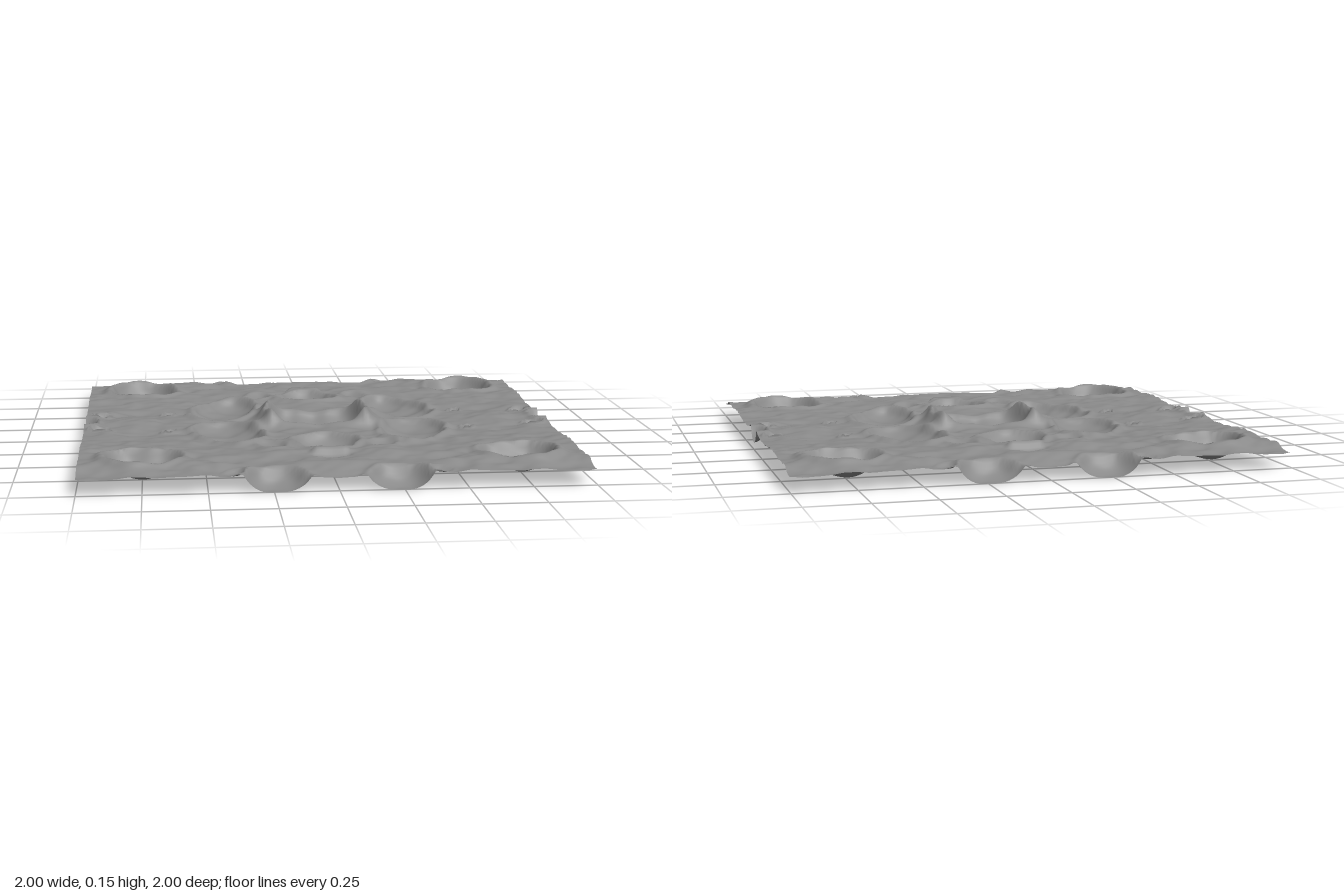
import * as THREE from 'three';

const { smoothstep, lerp } = THREE.MathUtils;

// Seeded smooth value noise, range -1..1
function hash(i, j, seed) {
  const s = Math.sin(i * 127.1 + j * 311.7 + seed * 74.7) * 43758.5453;
  return (s - Math.floor(s)) * 2 - 1;
}
function noise(x, z, seed) {
  const i = Math.floor(x), j = Math.floor(z);
  const u = smoothstep(x - i, 0, 1), v = smoothstep(z - j, 0, 1);
  return lerp(
    lerp(hash(i, j, seed), hash(i + 1, j, seed), u),
    lerp(hash(i, j + 1, seed), hash(i + 1, j + 1, seed), u), v);
}

// Craters of one quadrant; lobes are [x, z, radiusX, radiusZ]
const craters = [
  { floor: 0.01, rim: 0.015, lobes: [[0.755, 0.75, 0.14, 0.12], [0.75, 0.69, 0.15, 0.1]] },
  { floor: 0.03, rim: 0.01, lobes: [[0.1, 0, 0.11, 0.135], [0, 0, 0.13, 0.13]] },
  { floor: 0.038, rim: 0.012, lobes: [[0, 0.47, 0.13, 0.1], [0, 0.54, 0.1, 0.08]] },
  { floor: 0.035, rim: 0.014, lobes: [[0.345, 0.35, 0.105, 0.12], [0.39, 0.25, 0.125, 0.14], [0.415, 0.14, 0.12, 0.115]] },
  { floor: 0.0, rim: 0.01, lobes: [[0.24, 1, 0.125, 0.11]] },
  { floor: 0.03, rim: 0.008, lobes: [[1, 0, 0.06, 0.09]] },
  { floor: 0.055, rim: 0.012, lobes: [[0.93, 0.14, 0.04, 0.03]] },
  { floor: 0.055, rim: 0.012, lobes: [[0.63, 0.18, 0.03, 0.02]] },
  { floor: 0.066, rim: 0.003, lobes: [[0.23, 0.53, 0.06, 0.07]] },
  { floor: 0.058, rim: 0.003, lobes: [[0.4, 0.95, 0.04, 0.035]] },
];

// Blended distance to a group of lobes, 1 at the outline
function lobeDistance(lobes, x, z) {
  let sum = 0;
  for (const [cx, cz, rx, rz] of lobes) {
    sum += Math.exp(-12 * Math.hypot((x - cx) / rx, (z - cz) / rz));
  }
  return Math.max(0, -Math.log(sum) / 12);
}

// Height of the ground at a point of the mirrored quadrant
function heightAt(x, z) {
  let y = 0.077 - 0.014 * smoothstep(z, 0.82, 1)
    + 0.013 * noise(x * 4, z * 6, 1)
    + 0.009 * noise(x * 9, z * 14, 2)
    + 0.004 * noise(x * 20, z * 30, 3);

  // Tall ridge on either side of the middle crater
  const along = 1 - smoothstep(z, 0.12, 0.19);
  y += 0.055 * along * Math.exp(-(Math.abs((x - 0.205) / 0.045) ** 1.5));

  // Short step beyond the inner craters
  const step = 1 - smoothstep(x, 0.06, 0.09);
  y += 0.016 * step * Math.exp(-(((z - 0.655) / 0.016) ** 2));
  y -= 0.01 * step * Math.exp(-(((z - 0.69) / 0.016) ** 2));

  // Bowls with raised rims, uneven outlines and rough floors
  const wx = x + 0.012 * noise(x * 11, z * 11, 5);
  const wz = z + 0.012 * noise(x * 11, z * 11, 6);
  for (const { floor, rim, lobes } of craters) {
    const d = lobeDistance(lobes, wx, wz);
    if (d > 1.8) continue;
    y += rim * Math.exp(-(((d - 1.1) / 0.17) ** 2));
    const rough = 0.004 * noise(x * 16, z * 16, 7);
    if (d < 1) y = lerp(y, floor + rough, 1 - d ** 2.6);
  }
  return Math.max(y, 0);
}

export function createModel() {
  const group = new THREE.Group();
  group.name = 'crateredTerrain';

  const geometry = new THREE.PlaneGeometry(2, 2, 180, 180).rotateX(-Math.PI / 2);
  const pos = geometry.attributes.position;
  for (let i = 0; i < pos.count; i++) {
    const x = pos.getX(i);
    // Clipped corners
    const limit = 1 - Math.max(0, Math.abs(x) - 0.96) * 0.5;
    const z = THREE.MathUtils.clamp(pos.getZ(i), -limit, limit);
    pos.setXYZ(i, x, heightAt(Math.abs(x), Math.abs(z)), z);
  }
  geometry.computeVertexNormals();

  const ground = new THREE.Mesh(geometry, new THREE.MeshStandardMaterial({
    color: 0x8a8a8a, side: THREE.DoubleSide,
  }));
  ground.name = 'ground';
  group.add(ground);
  return group;
}
